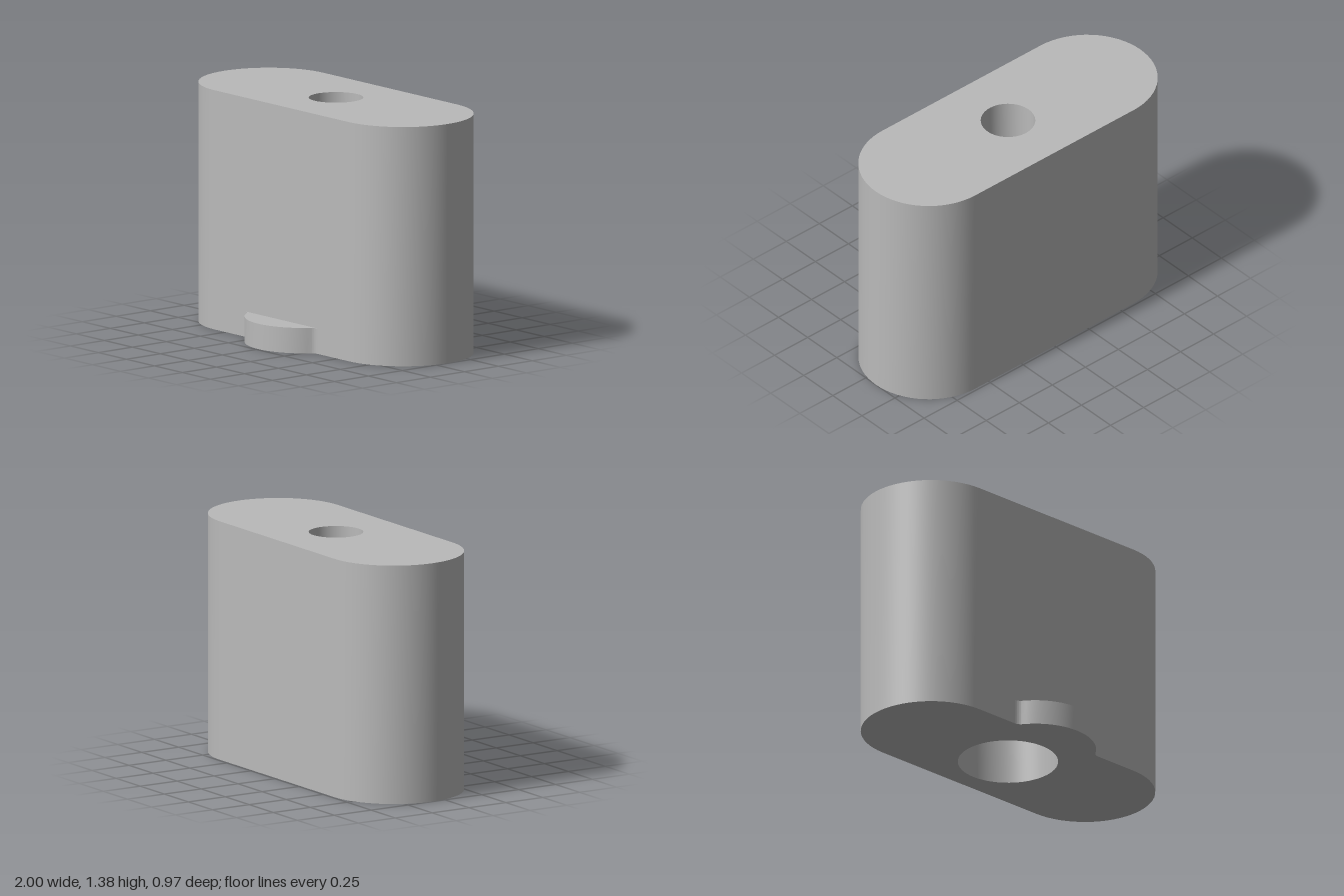
import * as THREE from 'three';
import { mergeGeometries, toCreasedNormals } from 'three/addons/utils/BufferGeometryUtils.js';

const H = 1.385, LEDGE = 0.85, TAB_H = 0.147;   // heights
const R = 0.4, HALF = 0.6, ZC = -0.086;         // rounded-end body
const FRONT = ZC + R;
const HOLE = 0.155, BORE = 0.285;               // stepped bore
const TAB_R = 0.345, TAB_Z = 0.14, FILLET = 0.05;
const SEG = 64;

// Points on an arc in the x, z plane
function arc(cx, cz, r, from, to, n) {
  return Array.from({ length: n + 1 }, (_, i) => {
    const t = from + (to - from) * i / n;
    return new THREE.Vector2(cx + r * Math.cos(t), cz + r * Math.sin(t));
  });
}

// Join paths, dropping repeated points
function join(...paths) {
  return paths.flat().filter((p, i, all) => i === 0 || p.distanceTo(all[i - 1]) > 1e-5);
}

// Upright wall along an x, z path
function wall(path, y0, y1) {
  const pos = [];
  for (let i = 0; i < path.length - 1; i++) {
    const a = path[i], b = path[i + 1];
    pos.push(a.x, y0, a.y, b.x, y0, b.y, b.x, y1, b.y);
    pos.push(a.x, y0, a.y, b.x, y1, b.y, a.x, y1, a.y);
  }
  const g = new THREE.BufferGeometry();
  g.setAttribute('position', new THREE.Float32BufferAttribute(pos, 3));
  g.computeVertexNormals();
  return toCreasedNormals(g, 0.6);
}

// Flat face at height y, facing up (1) or down (-1), with an optional round hole
function cap(outline, y, facing, holeRadius) {
  const shape = new THREE.Shape(outline.map(p => new THREE.Vector2(p.x, -facing * p.y)));
  if (holeRadius) {
    shape.holes.push(new THREE.Path(arc(0, -facing * ZC, holeRadius, 0, Math.PI * 2, SEG).slice(0, -1)));
  }
  const g = new THREE.ShapeGeometry(shape).toNonIndexed();
  g.rotateX(-facing * Math.PI / 2).translate(0, y, 0);
  g.deleteAttribute('uv');
  return g;
}

export function createModel() {
  const group = new THREE.Group();
  const grey = new THREE.MeshStandardMaterial({ color: 0xbababa });
  grey.name = 'grey';
  const add = (name, geometry) => {
    const mesh = new THREE.Mesh(geometry, grey);
    mesh.name = name;
    group.add(mesh);
  };

  // Front tab outline, with small fillets where it meets the body
  const dz = FRONT + FILLET - TAB_Z;
  const fx = Math.sqrt((TAB_R + FILLET) ** 2 - dz * dz);
  const a = Math.atan2(dz, fx), q = Math.PI / 2;
  const tabPath = join(
    arc(-fx, FRONT + FILLET, FILLET, -q, -a, 8),
    arc(0, TAB_Z, TAB_R, Math.PI - a, a, 32),
    arc(fx, FRONT + FILLET, FILLET, a - Math.PI, -q, 8));

  // Body outline from one side of the tab round the back to the other
  const left = new THREE.Vector2(-fx, FRONT), right = new THREE.Vector2(fx, FRONT);
  const bodyPath = join([right],
    arc(HALF, ZC, R, q, -q, 32),
    arc(-HALF, ZC, R, -q, -3 * q, 32), [left]);

  add('bodyWall', mergeGeometries([wall(bodyPath, 0, H), wall([left, right], TAB_H, H)]));
  add('topFace', cap(bodyPath, H, 1, HOLE));
  add('bottomFace', cap(join(bodyPath, tabPath.slice(1, -1)), 0, -1, BORE));
  add('tabWall', wall(tabPath, 0, TAB_H));
  add('tabTop', cap(tabPath, TAB_H, 1));

  // Bore: narrow at the top, wide below the ledge
  const profile = [[HOLE, H], [HOLE, LEDGE], [BORE, LEDGE], [BORE, 0]].map(p => new THREE.Vector2(...p));
  const bore = toCreasedNormals(new THREE.LatheGeometry(profile, SEG), 0.6);
  add('bore', bore.translate(0, 0, ZC));

  return group;
}
